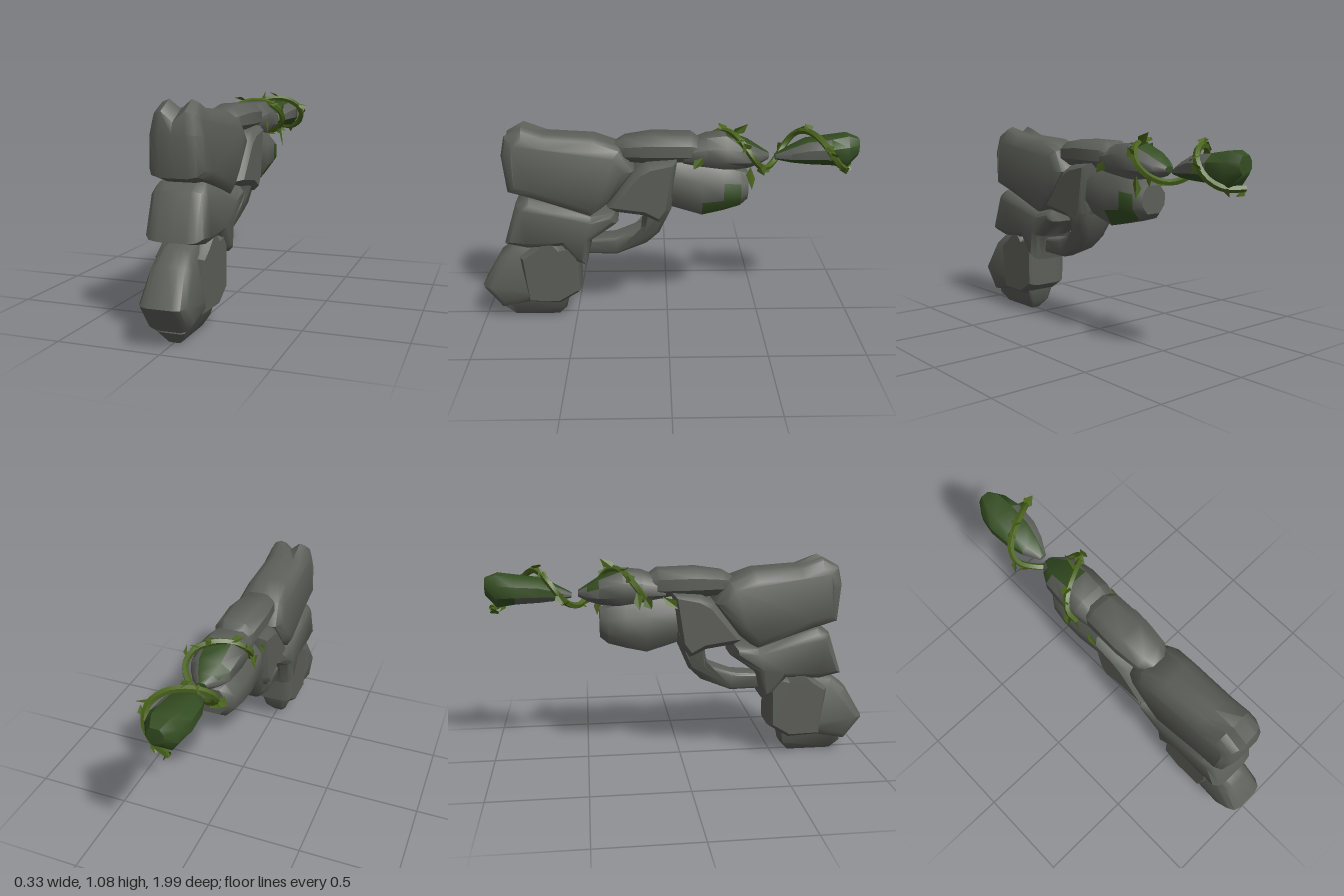
import * as THREE from 'three';
import { toCreasedNormals } from 'three/addons/utils/BufferGeometryUtils.js';

const stone = new THREE.MeshStandardMaterial({ color: 0x5c5e58 });
const moss = new THREE.MeshStandardMaterial({ color: 0x344d22 });
const vine = new THREE.MeshStandardMaterial({ color: 0x4a631c, side: THREE.DoubleSide });
stone.name = 'stone'; moss.name = 'moss'; vine.name = 'vine';

function finish(name, positions, index, material, crease = 0.75, groups = []) {
  const g = new THREE.BufferGeometry();
  g.setAttribute('position', new THREE.Float32BufferAttribute(positions, 3));
  g.setIndex(index);
  groups.forEach(([start, count, m]) => g.addGroup(start, count, m));
  const mesh = new THREE.Mesh(toCreasedNormals(g, crease), material);
  mesh.name = name;
  return mesh;
}

// Chiselled slab: a [z, y] side outline, given thickness along x, shrinking near both flanks.
function slab(name, outline, halfWidth, inset, warp = () => {}) {
  let pts = outline.map(([z, y]) => new THREE.Vector2(z, y));
  if (THREE.ShapeUtils.area(pts) < 0) pts = pts.reverse();
  const n = pts.length;
  const normals = pts.map((p, i) => {
    const a = p.clone().sub(pts[(i + n - 1) % n]).normalize();
    const b = pts[(i + 1) % n].clone().sub(p).normalize();
    const t = a.add(b).normalize();
    return new THREE.Vector2(t.y, -t.x);
  });
  const half = [[0.5, 0], [0.82, 0.25], [1, 1]];
  const rings = [...half.map(([x, d]) => [-x, d]).reverse(), [0, 0], ...half];
  const pos = [], index = [];
  for (const [x, d] of rings) {
    pts.forEach((p, i) => {
      const v = new THREE.Vector3(x * halfWidth, p.y - normals[i].y * d * inset, p.x - normals[i].x * d * inset);
      warp(v);
      pos.push(v.x, v.y, v.z);
    });
  }
  for (let r = 0; r < rings.length - 1; r++) {
    for (let i = 0; i < n; i++) {
      const a = r * n + i, b = r * n + (i + 1) % n;
      index.push(a, a + n, b, b, a + n, b + n);
    }
  }
  const last = (rings.length - 1) * n;
  for (const [a, b, c] of THREE.ShapeUtils.triangulateShape(pts, [])) {
    index.push(a, b, c, last + c, last + b, last + a);
  }
  return finish(name, pos, index, stone);
}

// Boulder lofted backwards through [z, bottom, top, halfWidth] stations; mossy(i, j) picks green faces.
const section = [[0.55, -1], [1, -0.4], [1, 0.4], [0.55, 1], [-0.55, 1], [-1, 0.4], [-1, -0.4], [-0.55, -1]];
function boulder(name, stations, mossy) {
  const n = section.length, pos = [], faces = [[], []];
  for (const [z, lo, hi, w] of stations) {
    for (const [x, y] of section) pos.push(x * w, (lo + hi) / 2 + y * (hi - lo) / 2, z);
  }
  const end = stations.length - 1;
  for (let i = 0; i < end; i++) {
    for (let j = 0; j < n; j++) {
      const a = i * n + j, b = i * n + (j + 1) % n;
      faces[mossy(i, j) ? 1 : 0].push(a, a + n, b, b, a + n, b + n);
    }
  }
  for (let k = 1; k < n - 1; k++) {
    faces[0].push(0, k, k + 1);
    faces[mossy(end, 3) ? 1 : 0].push(end * n, end * n + k + 1, end * n + k);
  }
  const [s, m] = faces;
  return finish(name, pos, [...s, ...m], [stone, moss], 0.8, [[0, s.length, 0], [s.length, m.length, 1]]);
}

// Folded pointed leaf growing from a base to a tip.
function leaf(base, tip, spread) {
  const side = spread.clone().setLength(0.028);
  const mid = base.clone().lerp(tip, 0.45);
  const fold = tip.clone().sub(base).cross(side).setLength(0.01);
  const pts = [base, mid.clone().add(side).add(fold), tip, mid.clone().sub(side).add(fold)];
  return finish('leaf', pts.flatMap(p => p.toArray()), [0, 1, 2, 0, 2, 3], vine, 0.1);
}

export function createModel() {
  const model = new THREE.Group();
  model.name = 'stonePistol';
  const { smoothstep } = THREE.MathUtils;

  // Main body, with a notch between two horns at the front top
  model.add(slab('body', [
    [0.85, 0.93], [0.83, 0.74], [0.7, 0.7], [0.4, 0.6], [0.3, 0.68], [0.17, 0.85], [0.24, 0.97],
    [0.38, 1.02], [0.62, 1.035], [0.74, 1.08], [0.83, 1.03],
  ], 0.135, 0.06, v => {
    if (v.z > 0.7 && v.y > 1 && Math.abs(v.x) < 0.03) v.y -= 0.045;
    v.x *= 1 - 0.2 * smoothstep(v.y, 0.85, 1.08);
  }));

  // Grip stones
  model.add(slab('upperGrip', [
    [0.79, 0.68], [0.72, 0.72], [0.58, 0.68], [0.4, 0.62], [0.27, 0.64], [0.26, 0.57], [0.4, 0.47],
    [0.43, 0.33], [0.49, 0.35], [0.56, 0.44], [0.74, 0.43], [0.86, 0.46],
  ], 0.138, 0.04));
  model.add(slab('frontGrip', [
    [1, 0.2], [0.9, 0.37], [0.82, 0.43], [0.66, 0.46], [0.64, 0.14], [0.74, 0.1], [0.9, 0.07],
  ], 0.115, 0.05, v => { v.x *= 1 - 0.25 * smoothstep(v.y, 0.2, 0.45); }));
  model.add(slab('backGrip', [
    [0.79, 0.38], [0.72, 0.43], [0.63, 0.5], [0.57, 0.44], [0.47, 0.46], [0.47, 0.17], [0.58, 0.1], [0.76, 0.11],
  ], 0.12, 0.025));
  model.add(slab('gripBase', [
    [0.89, 0.06], [0.84, 0], [0.6, 0], [0.555, 0.05], [0.54, 0.14], [0.86, 0.14],
  ], 0.085, 0.01, v => { v.x *= 0.4 + 0.6 * Math.min(1, v.y / 0.09); }));

  // Trigger housing and the guard curling beneath it
  model.add(slab('triggerHousing', [
    [0.32, 0.66], [0.17, 0.86], [0.1, 0.9], [-0.05, 0.915], [-0.02, 0.64], [0.04, 0.57], [0.13, 0.61], [0.27, 0.63],
  ], 0.138, 0.035));
  model.add(slab('triggerGuard', [
    [-0.03, 0.72], [-0.02, 0.64], [0.04, 0.5], [0.11, 0.43], [0.27, 0.365], [0.45, 0.37],
    [0.45, 0.455], [0.28, 0.47], [0.14, 0.52], [0.125, 0.6], [0.15, 0.68],
  ], 0.12, 0.02, v => { v.x *= 0.45 + 0.55 * smoothstep(v.y, 0.4, 0.65); }));

  // Top rail and the rocks of the barrel
  model.add(boulder('topRail', [
    [0.27, 0.92, 0.985, 0.055], [0.22, 0.89, 1.01, 0.09], [0.08, 0.88, 1.03, 0.105],
    [-0.12, 0.88, 1.025, 0.1], [-0.19, 0.9, 0.98, 0.06],
  ], () => false));
  model.add(boulder('underBarrel', [
    [0.02, 0.66, 0.9, 0.11], [-0.18, 0.6, 0.88, 0.118], [-0.29, 0.625, 0.86, 0.118],
    [-0.38, 0.65, 0.835, 0.105], [-0.42, 0.68, 0.82, 0.075],
  ], (i, j) => (i === 2 && j <= 1) || (i === 1 && j === 0)));
  model.add(boulder('barrel', [
    [-0.08, 0.87, 0.97, 0.09], [-0.2, 0.85, 1.015, 0.11], [-0.3, 0.84, 1.025, 0.112],
    [-0.42, 0.855, 0.98, 0.1], [-0.48, 0.87, 0.945, 0.065], [-0.525, 0.89, 0.92, 0.025],
  ], (i, j) => (i >= 2 && j === 3) || (i === 3 && j === 4)));
  model.add(boulder('muzzle', [
    [-0.56, 0.885, 0.91, 0.02], [-0.64, 0.875, 0.95, 0.065], [-0.72, 0.87, 0.985, 0.09],
    [-0.84, 0.865, 1, 0.098], [-0.93, 0.85, 1.015, 0.08], [-0.99, 0.91, 0.995, 0.04],
  ], (i, j) => i >= 3 || j === 3 || j === 0 || j === 7 || (i >= 1 && (j === 4 || j === 5))));

  // Vine winding twice around the barrel and muzzle, tighter across the gap between them
  const path = new THREE.CatmullRomCurve3(Array.from({ length: 17 }, (_, i) => {
    const t = i / 16, angle = Math.PI * (1.15 - 3.75 * t), z = -0.19 - 0.77 * t;
    const gap = 1 - 0.25 * Math.exp(-(((z + 0.55) / 0.07) ** 2));
    return new THREE.Vector3(Math.cos(angle) * 0.128 * gap, 0.935 + Math.sin(angle) * 0.093, z);
  }));
  const stem = new THREE.Mesh(toCreasedNormals(new THREE.TubeGeometry(path, 48, 0.017, 5), 0.6), vine);
  stem.name = 'vineStem';
  model.add(stem);

  // Leaves along the vine, pointing outwards and alternately back and forth
  const leaves = new THREE.Group();
  leaves.name = 'leaves';
  for (let i = 0; i < 15; i++) {
    const base = path.getPoint(i / 14), tangent = path.getTangent(i / 14);
    const out = new THREE.Vector3(base.x, base.y - 0.935, 0).normalize();
    const tip = base.clone().addScaledVector(out, 0.02 + 0.012 * (i % 3))
      .addScaledVector(tangent, i % 2 ? 0.06 : -0.06);
    tip.z = Math.max(tip.z, -1);
    leaves.add(leaf(base, tip, tangent.cross(out)));
  }

  // Loose leaves hanging from the vine: base, then tip
  for (const [x, y, z, tx, ty, tz] of [
    [0.12, 0.88, -0.42, 0.13, 0.76, -0.43], [0.12, 0.93, -0.18, 0.13, 0.87, -0.13],
    [-0.12, 0.93, -0.23, -0.15, 0.84, -0.22], [0.02, 1.02, -0.33, 0.03, 1.08, -0.41],
    [-0.12, 0.9, -0.1, -0.125, 0.83, -0.01],
  ]) {
    leaves.add(leaf(new THREE.Vector3(x, y, z), new THREE.Vector3(tx, ty, tz), new THREE.Vector3(0.2, 0.5, 1)));
  }
  model.add(leaves);

  return model;
}
